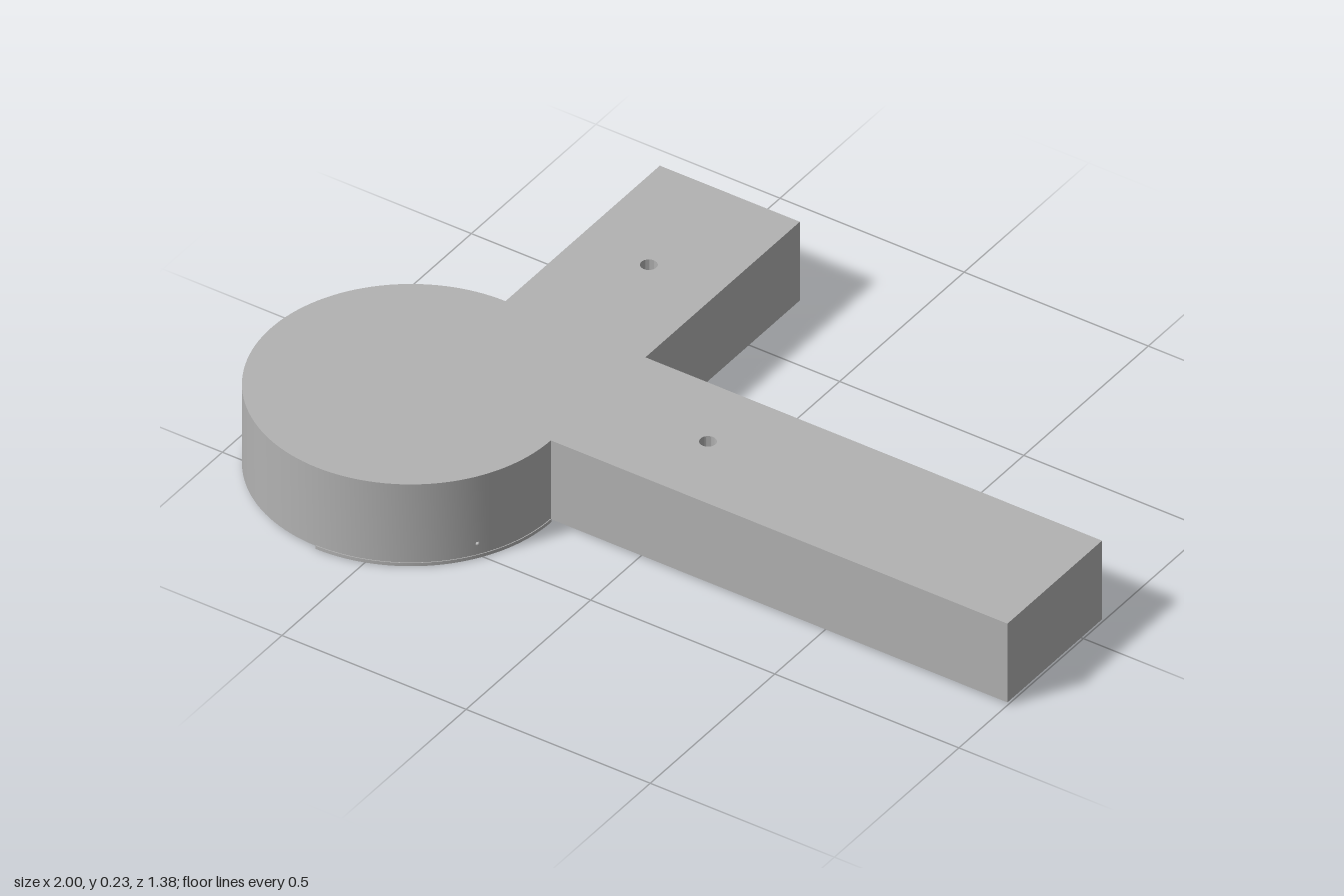
import * as THREE from 'three';
import { toCreasedNormals } from 'three/addons/utils/BufferGeometryUtils.js';

export function createModel() {
  const model = new THREE.Group();
  const grey = new THREE.MeshStandardMaterial({ color: 0xb2b2b2 });
  grey.name = 'plain grey';

  const CX = -0.62, CZ = 0.305, R = 0.38;   // round end
  const BASE = 0.008, TOP = 0.228;
  const holes = [[-0.43, -0.37], [0.055, 0.11]];
  const HOLE_R = 0.02, HOLE_FLOOR = 0.16;

  function add(name, geometry) {
    const mesh = new THREE.Mesh(geometry, grey);
    mesh.name = name;
    model.add(mesh);
    return mesh;
  }

  // Extrudes a plan outline (shape y = -z) between two heights
  function slab(shape, y0, y1) {
    const g = new THREE.ExtrudeGeometry(shape, { depth: y1 - y0, bevelEnabled: false, curveSegments: 48 });
    g.rotateX(-Math.PI / 2).translate(0, y0, 0);
    return toCreasedNormals(g, 0.5);
  }

  // Body: round end running into two arms at right angles
  const plan = new THREE.Shape();
  plan.moveTo(CX + R, -CZ);
  plan.absarc(CX, -CZ, R, 0, Math.PI / 2, true);
  plan.lineTo(CX, 0.695);
  plan.lineTo(CX + R, 0.695);
  plan.lineTo(CX + R, R - CZ);
  plan.lineTo(1, R - CZ);
  plan.lineTo(1, -CZ);
  plan.closePath();
  for (const [x, z] of holes) {
    const hole = new THREE.Path();
    hole.absarc(x, -z, HOLE_R, 0, Math.PI * 2, false);
    plan.holes.push(hole);
  }
  add('body', slab(plan, BASE, TOP));

  // Plugs closing the lower part of the blind holes
  for (const [x, z] of holes) {
    const h = HOLE_FLOOR - BASE;
    add('holeFloor', new THREE.CylinderGeometry(HOLE_R, HOLE_R, h, 48))
      .position.set(x, BASE + h / 2, z);
  }

  // Quarter foot under the front of the round end
  const quarter = new THREE.Shape();
  quarter.moveTo(CX, -CZ);
  quarter.absarc(CX, -CZ, R + 0.002, -Math.PI / 2, 0, false);
  quarter.closePath();
  add('quarterFoot', slab(quarter, 0.001, BASE + 0.002));

  // Fine raised arcs on the underside of the foot
  for (const r of [0.08, 0.15, 0.23]) {
    const a0 = -Math.PI / 4 - 0.45, a1 = -Math.PI / 4 + 0.45;
    const arc = new THREE.Shape();
    arc.absarc(CX, -CZ, r + 0.004, a0, a1, false);
    arc.absarc(CX, -CZ, r - 0.004, a1, a0, true);
    arc.closePath();
    add('underArc', slab(arc, 0, 0.002));
  }

  // Tiny pip on the curved wall
  const pipAngle = 0.57;
  add('sidePip', new THREE.SphereGeometry(0.005, 10, 8))
    .position.set(CX + R * Math.cos(pipAngle), 0.04, CZ + R * Math.sin(pipAngle));

  return model;
}
